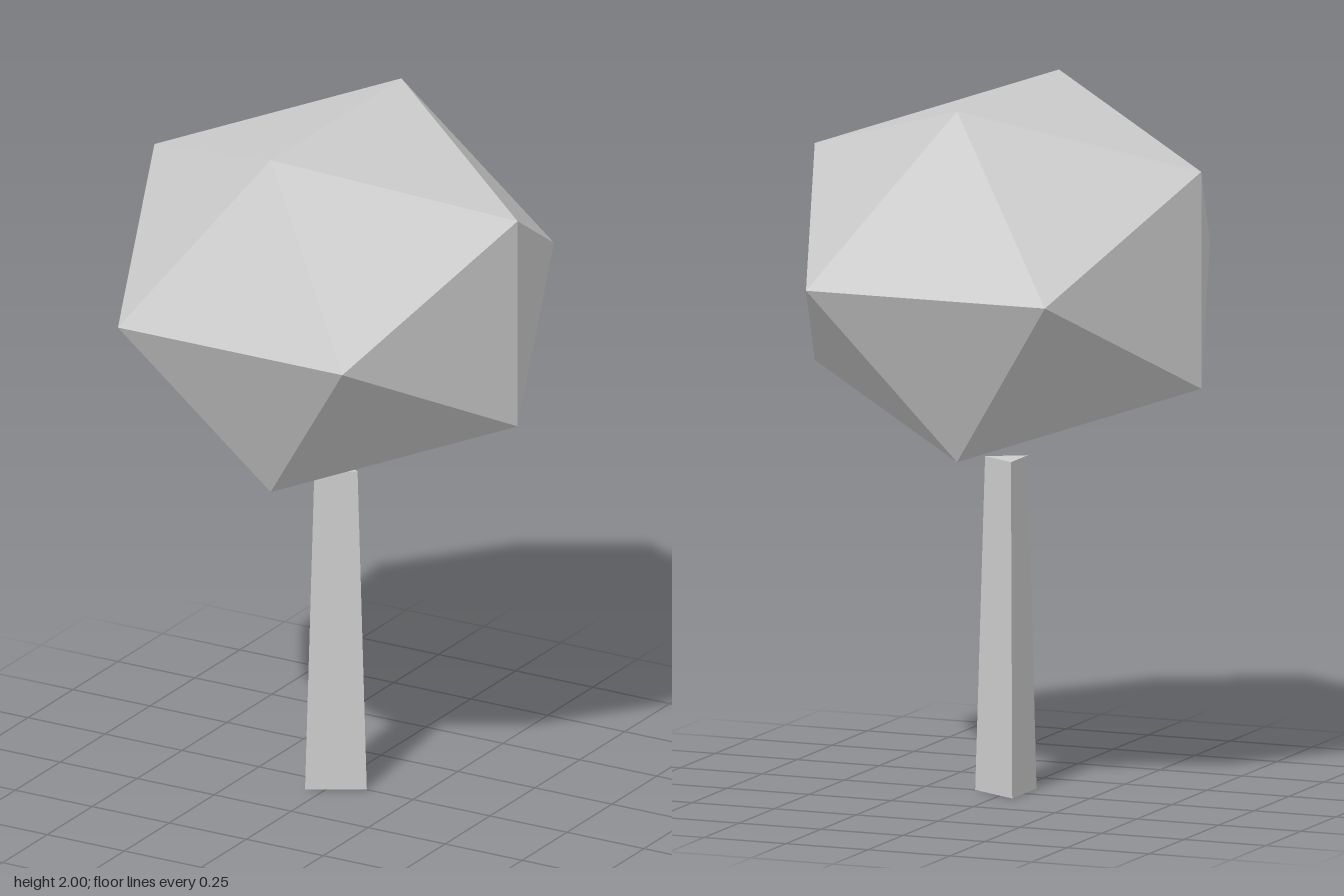
import * as THREE from 'three';

export function createModel() {
  const group = new THREE.Group();
  group.name = 'lowPolyTree';

  const lightGrey = new THREE.MeshStandardMaterial({ color: 0xcccccc, flatShading: true });
  lightGrey.name = 'lightGrey';

  // Crown: icosahedron squashed to one unit tall, ridge running along z
  const crownGeometry = new THREE.IcosahedronGeometry(0.693, 0);
  crownGeometry.rotateY(Math.PI / 2);
  crownGeometry.scale(1, 0.848, 1);
  const crown = new THREE.Mesh(crownGeometry, lightGrey);
  crown.name = 'crown';
  crown.position.y = 1.5;
  group.add(crown);

  // Trunk: tapered three-sided prism, one edge facing +x
  const trunkHeight = 0.953;
  const trunkGeometry = new THREE.CylinderGeometry(0.07, 0.1, trunkHeight, 3);
  trunkGeometry.rotateY(Math.PI / 2);
  const trunk = new THREE.Mesh(trunkGeometry, lightGrey);
  trunk.name = 'trunk';
  trunk.position.y = trunkHeight / 2;
  group.add(trunk);

  return group;
}
